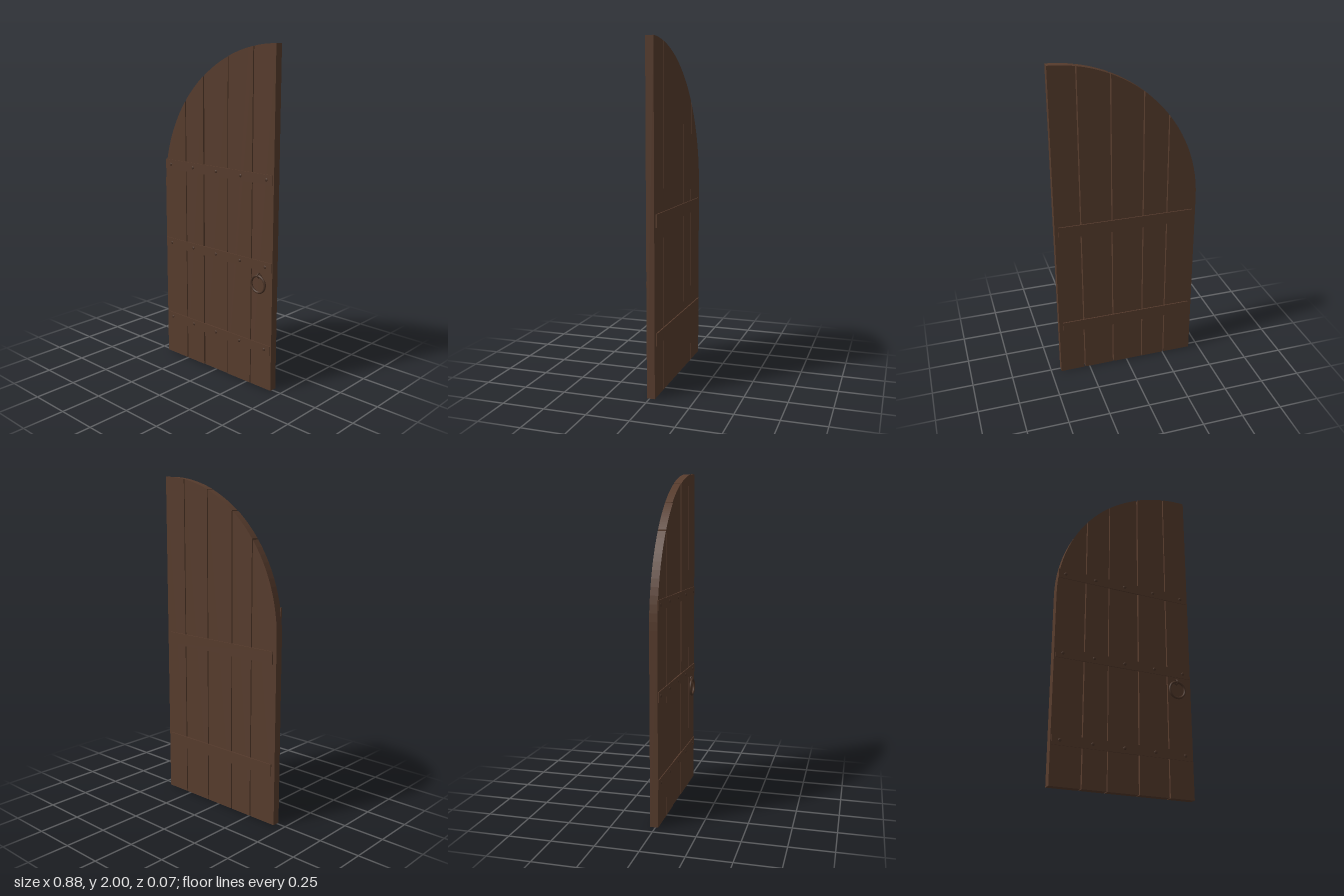
import * as THREE from 'three';

const wood = new THREE.MeshStandardMaterial({ color: 0x573c2d });
wood.name = 'brown wood';
const iron = new THREE.MeshStandardMaterial({ color: 0x4b3427 });
iron.name = 'dark brown iron';

// Quarter-circle arch rising from the hinge side to the meeting edge
const EDGE = 0.437, RADIUS = 0.875, SPRING = 1.125;
const archY = (x) => SPRING + Math.sqrt(Math.max(0, RADIUS ** 2 - (EDGE - x) ** 2));

function add(group, name, geometry, material, x, y, z) {
  const mesh = new THREE.Mesh(geometry, material);
  mesh.name = name;
  mesh.position.set(x, y, z);
  group.add(mesh);
  return mesh;
}

// Upright board whose top follows the arch
function plankGeometry(x0, x1, depth) {
  const shape = new THREE.Shape();
  shape.moveTo(x0, 0);
  shape.lineTo(x1, 0);
  const a0 = Math.acos(Math.min(1, (EDGE - x1) / RADIUS));
  const a1 = Math.acos(Math.min(1, (EDGE - x0) / RADIUS));
  const steps = 12;
  for (let i = 0; i <= steps; i++) {
    const x = EDGE - RADIUS * Math.cos(a0 + ((a1 - a0) * i) / steps);
    shape.lineTo(x, archY(x));
  }
  return new THREE.ExtrudeGeometry(shape, { depth, bevelEnabled: false });
}

export function createModel() {
  const door = new THREE.Group();
  door.name = 'archedDoor';

  // Five planks with narrow open gaps; the middle one is set back a little
  const seams = [-0.438, -0.255, -0.104, 0.09, 0.28, EDGE];
  const gap = 0.0035;
  for (let i = 0; i < 5; i++) {
    const x0 = seams[i] + (i > 0 ? gap : 0);
    const x1 = seams[i + 1] - (i < 4 ? gap : 0);
    const front = i === 2 ? 0.013 : 0.016;
    add(door, 'plank' + (i + 1), plankGeometry(x0, x1, front + 0.031), wood, 0, 0, -0.031);
  }

  // Front straps with a row of domed studs
  const studGeometry = new THREE.SphereGeometry(0.01, 12, 6, 0, Math.PI * 2, 0, Math.PI / 2);
  studGeometry.scale(1, 0.5, 1);
  studGeometry.rotateX(Math.PI / 2);
  for (const y of [0.25, 0.754, 1.261]) {
    add(door, 'frontStrap', new THREE.BoxGeometry(0.862, 0.058, 0.009), wood, 0, y, 0.0165);
    for (let i = -2; i <= 2; i++) {
      add(door, 'stud', studGeometry, iron, i * 0.193, y, 0.0205);
    }
  }

  // Back battens
  for (const y of [0.337, 1.008]) {
    add(door, 'backBatten', new THREE.BoxGeometry(0.828, 0.075, 0.008), wood, 0, y, -0.034);
  }

  // Pull ring hanging from a small staple
  const handle = new THREE.Group();
  handle.name = 'ringHandle';
  add(handle, 'pullRing', new THREE.TorusGeometry(0.05, 0.0075, 8, 32), iron, 0.341, 0.643, 0.0275);
  const staple = add(handle, 'staple', new THREE.TorusGeometry(0.013, 0.005, 8, 12, Math.PI), iron, 0.341, 0.695, 0.018);
  staple.rotation.set(0, -Math.PI / 2, -Math.PI / 2, 'YXZ');
  add(handle, 'staplePlate', new THREE.CylinderGeometry(0.016, 0.016, 0.006, 16), iron, 0.341, 0.693, 0.018)
    .rotation.x = Math.PI / 2;
  door.add(handle);

  return door;
}
